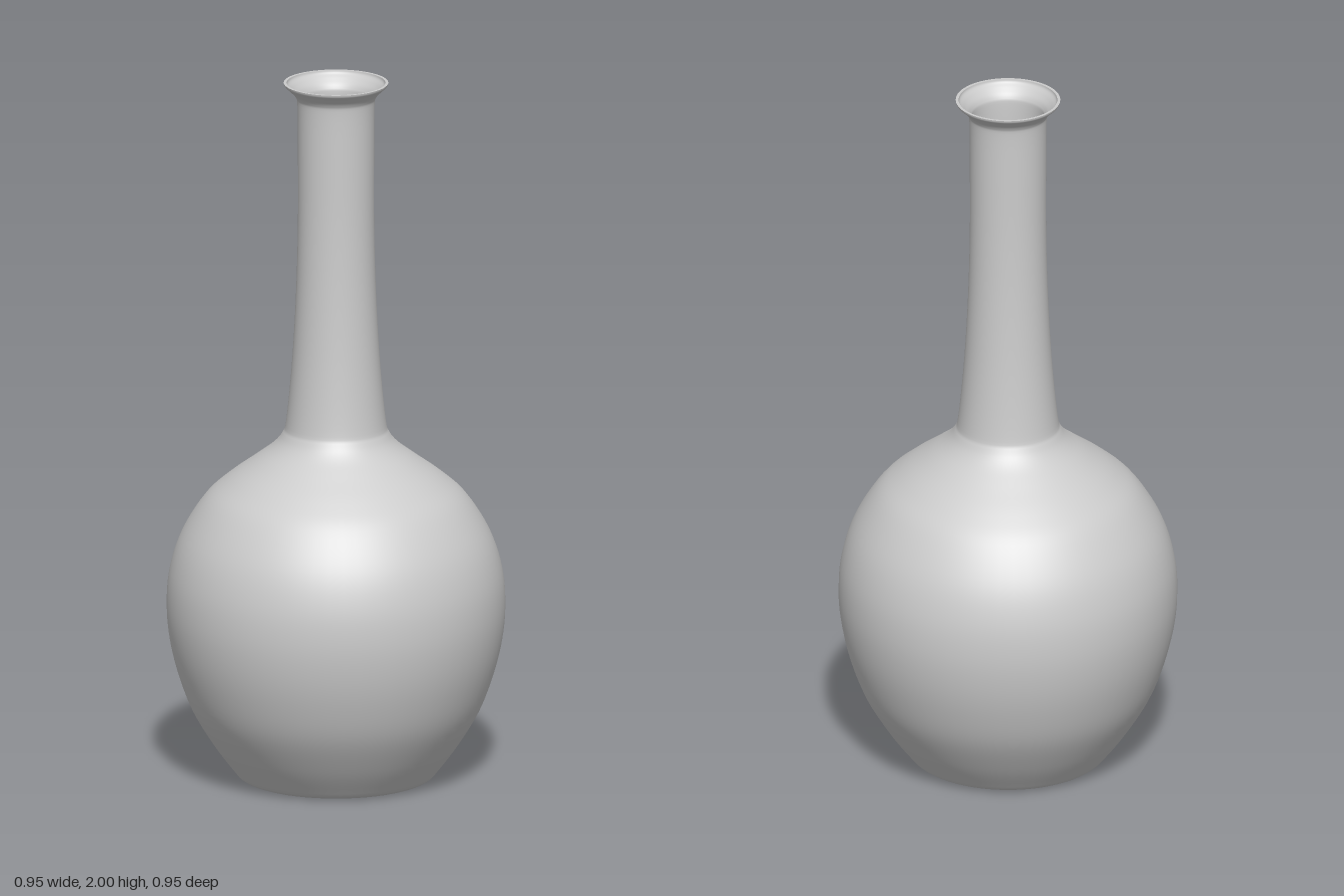
import * as THREE from 'three';

const SEGMENTS = 64;
const WALL = 0.008;

// Smooth curve through [radius, height] pairs
function smooth(pairs, count) {
  const points = pairs.map(([r, y]) => new THREE.Vector2(r, y));
  return new THREE.SplineCurve(points).getPoints(count);
}

function lathe(name, points, material) {
  const mesh = new THREE.Mesh(new THREE.LatheGeometry(points, SEGMENTS), material);
  mesh.name = name;
  return mesh;
}

export function createModel() {
  const group = new THREE.Group();
  group.name = 'bottleVase';
  const material = new THREE.MeshStandardMaterial({ color: 0xcccccc, side: THREE.DoubleSide });

  // Rounded foot, globe body, slender neck and flared lip
  const outer = smooth([
    [0.245, 0], [0.27, 0.008], [0.29, 0.03], [0.342, 0.1], [0.402, 0.2], [0.44, 0.3],
    [0.464, 0.4], [0.473, 0.5], [0.464, 0.6], [0.432, 0.7], [0.37, 0.8], [0.305, 0.86],
    [0.23, 0.915], [0.178, 0.955], [0.15, 0.99], [0.139, 1.03], [0.123, 1.2],
    [0.112, 1.4], [0.107, 1.6], [0.107, 1.8], [0.108, 1.93], [0.113, 1.96],
    [0.13, 1.98], [0.143, 1.992], [0.146, 2],
  ], 120);
  group.add(lathe('outerWall', outer, material));

  // Inner wall follows the outside, one wall thickness inwards
  const inner = outer.map((p) => new THREE.Vector2(p.x - WALL, Math.max(p.y, WALL))).reverse();
  group.add(lathe('innerWall', inner, material));

  // Thin rim joins the two walls
  const rim = [outer[outer.length - 1], inner[0]];
  group.add(lathe('rim', rim, material));

  // Flat underside and inside floor
  const base = new THREE.Mesh(new THREE.CircleGeometry(0.245, SEGMENTS), material);
  base.name = 'base';
  base.rotation.x = Math.PI / 2;
  const floor = new THREE.Mesh(new THREE.CircleGeometry(0.245 - WALL, SEGMENTS), material);
  floor.name = 'insideFloor';
  floor.rotation.x = -Math.PI / 2;
  floor.position.y = WALL;
  group.add(base, floor);

  return group;
}
